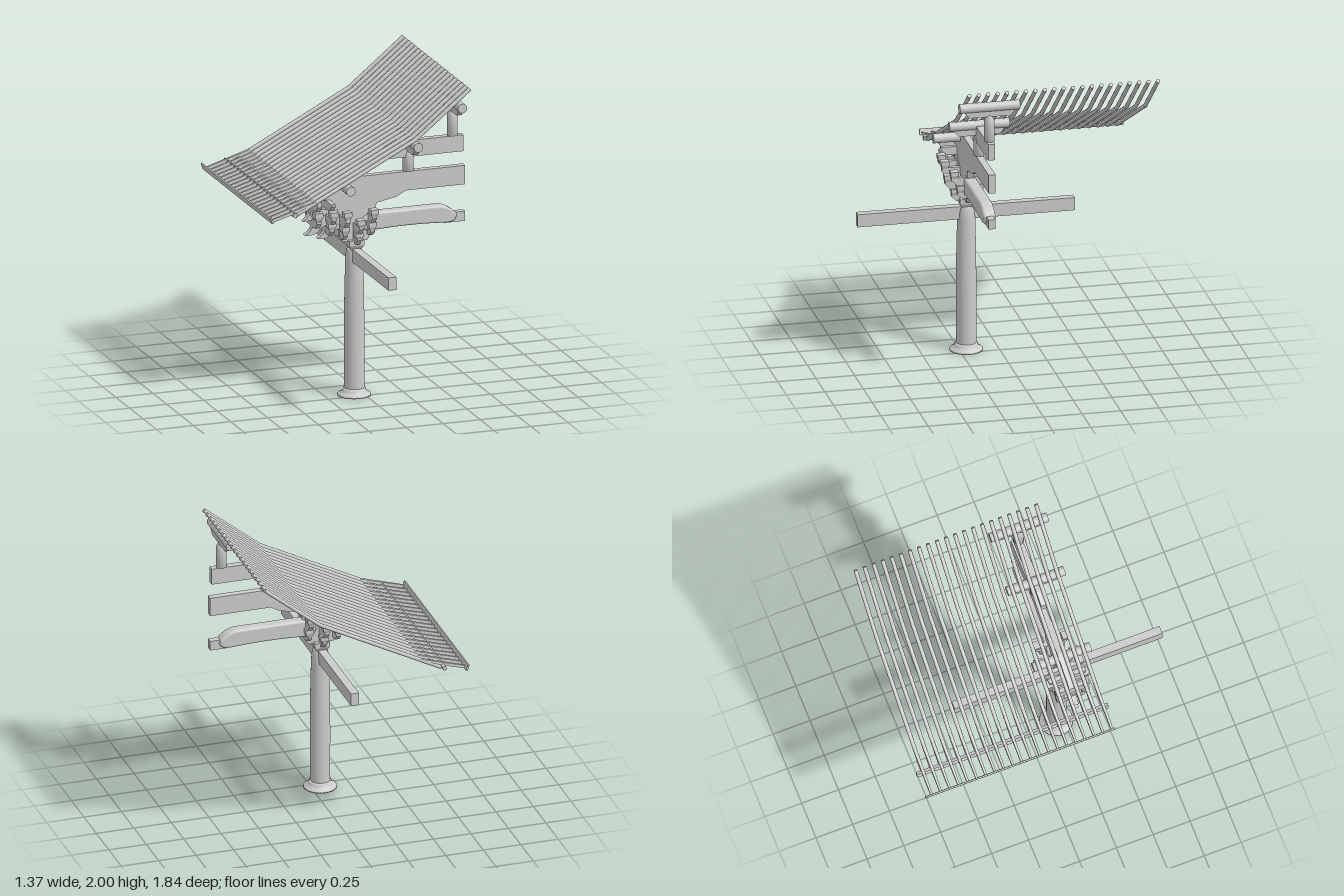
import * as THREE from 'three';

const MAT = new THREE.MeshStandardMaterial({ color: 0xcccccc, side: THREE.DoubleSide });
const FLAT = new THREE.MeshStandardMaterial({ color: 0xcccccc, flatShading: true, side: THREE.DoubleSide });
const CX = -0.06, CZ = 0.205; // column axis

export function createModel() {
  const model = new THREE.Group();
  const add = (name, geo, mat = FLAT, parent = model) => {
    const m = new THREE.Mesh(geo, mat);
    m.name = name;
    parent.add(m);
    return m;
  };
  const box = (name, x0, x1, y0, y1, z0, z1, parent) => {
    const g = new THREE.BoxGeometry(x1 - x0, y1 - y0, z1 - z0);
    g.translate((x0 + x1) / 2, (y0 + y1) / 2, (z0 + z1) / 2);
    return add(name, g, FLAT, parent);
  };
  const shape = (pts) => new THREE.Shape(pts.map((p) => new THREE.Vector2(p[0], p[1])));
  // side profile (x, y) given a thickness about z
  const plate = (name, outline, t, z = CZ, parent = model) => {
    const s = Array.isArray(outline) ? shape(outline) : outline;
    const g = new THREE.ExtrudeGeometry(s, { depth: t, bevelEnabled: false, curveSegments: 8 });
    g.translate(0, 0, z - t / 2);
    return add(name, g, FLAT, parent);
  };
  // round rod between two points
  const rod = (name, a, b, r, seg, parent) => {
    const A = new THREE.Vector3(...a), B = new THREE.Vector3(...b);
    const m = add(name, new THREE.CylinderGeometry(r, r, A.distanceTo(B), seg), MAT, parent);
    m.position.copy(A).add(B).multiplyScalar(0.5);
    m.quaternion.setFromUnitVectors(new THREE.Vector3(0, 1, 0), B.sub(A).normalize());
  };
  const lathe = (name, pts, x, y, z) => {
    const g = new THREE.LatheGeometry(pts.map((p) => new THREE.Vector2(p[0], p[1])), 32);
    add(name, g, MAT).position.set(x, y, z);
  };
  // bracket arm running along z, lower corners cut away
  const crossArm = (name, x, y0, y1, half, t, parent = model) => {
    const c = Math.min(0.04, (y1 - y0) * 0.7);
    const s = shape([[-half + c, y0], [half - c, y0], [half, y0 + c], [half, y1], [-half, y1], [-half, y0 + c]]);
    const g = new THREE.ExtrudeGeometry(s, { depth: t, bevelEnabled: false });
    g.translate(0, 0, -t / 2).rotateY(Math.PI / 2).translate(x, 0, CZ);
    add(name, g, FLAT, parent);
  };
  // bearing block: square top, tapered foot
  const block = (x, y0, y1, z, w, parent = model) => {
    const mid = y0 + (y1 - y0) * 0.45, k = Math.SQRT1_2;
    box('bearingBlock', x - w / 2, x + w / 2, mid, y1, z - w / 2, z + w / 2, parent);
    const g = new THREE.CylinderGeometry(w * k, w * k * 0.7, mid - y0, 4).rotateY(Math.PI / 4);
    add('bearingBlockFoot', g.translate(x, (y0 + mid) / 2, z), FLAT, parent);
  };

  // column with spreading stone base
  lathe('columnBase', [[0, 0], [0.108, 0], [0.106, 0.01], [0.085, 0.02], [0.073, 0.035], [0.071, 0.05], [0, 0.05]], CX, 0, CZ);
  lathe('column', [[0.064, 0.04], [0.065, 0.4], [0.063, 0.65], [0.058, 0.88], [0.055, 0.93], [0.048, 0.965], [0.042, 0.975], [0, 0.975]], CX, 0, CZ);
  box('tieBeam', -0.088, -0.035, 0.89, 0.975, -0.495, 0.915);

  // bracket set
  const brackets = new THREE.Group();
  brackets.name = 'bracketSet';
  model.add(brackets);
  block(CX, 0.97, 1.03, CZ, 0.1, brackets);
  plate('forwardArms', [[-0.14, 1.02], [0.02, 1.02], [0.05, 1.06], [0.05, 1.2], [-0.17, 1.2], [-0.17, 1.06]], 0.04, CZ, brackets);
  // per stack: x, arms [y0, y1, half length], blocks [y0, y1, offset]
  const stacks = [
    [-0.335, [[1.255, 1.33, 0.115], [1.145, 1.2, 0.11]], [[1.2, 1.255, 0.085], [1.2, 1.255, 0]]],
    [-0.245, [[1.255, 1.31, 0.125], [1.175, 1.215, 0.14], [1.09, 1.135, 0.1]], [[1.212, 1.26, 0.12], [1.132, 1.178, 0.08]]],
    [-0.152, [[1.14, 1.205, 0.14], [1.05, 1.1, 0.1]], [[1.202, 1.25, 0.12], [1.097, 1.143, 0.08], [1.097, 1.143, 0]]],
    [-0.06, [[1.09, 1.145, 0.14], [1.01, 1.06, 0.1]], [[1.142, 1.19, 0.12], [1.05, 1.095, 0.075]]],
    [0.035, [[1.15, 1.202, 0.12], [1.06, 1.1, 0.08]], [[1.2, 1.245, 0.1], [1.1, 1.15, 0.06]]],
  ];
  for (const [x, arms, blocks] of stacks) {
    for (const [y0, y1, half] of arms) crossArm('crossArm', x, y0, y1, half, 0.03, brackets);
    for (const [y0, y1, off] of blocks)
      for (const s of off ? [-1, 1] : [0]) block(x, y0, y1, CZ + s * off, 0.052, brackets);
  }
  // curved beaks pointing down and outward
  for (const [dx, dy] of [[0, 0], [0.085, -0.03]]) {
    const s = new THREE.Shape();
    s.moveTo(-0.4 + dx, 1.09 + dy);
    s.quadraticCurveTo(-0.35 + dx, 1.11 + dy, -0.335 + dx, 1.18 + dy);
    s.lineTo(-0.2 + dx, 1.25 + dy);
    s.lineTo(-0.12 + dx, 1.2 + dy);
    s.lineTo(-0.29 + dx, 1.13 + dy);
    s.quadraticCurveTo(-0.32 + dx, 1.075 + dy, -0.4 + dx, 1.09 + dy);
    plate('beak', s, 0.04, CZ, brackets);
  }
  plate('noseArm', [[-0.41, 1.18], [-0.37, 1.185], [-0.2, 1.2], [-0.2, 1.25], [-0.34, 1.25], [-0.36, 1.23]], 0.036, CZ, brackets);

  // beams running back from the brackets
  plate('mainBeam', [[0.68, 1.445], [0.68, 1.32], [0.28, 1.32], [0.215, 1.285], [0.085, 1.26], [0.06, 1.19],
    [-0.02, 1.16], [-0.15, 1.16], [-0.18, 1.24], [-0.23, 1.25], [-0.23, 1.31], [-0.35, 1.315], [-0.35, 1.335], [-0.17, 1.43], [-0.14, 1.445]], 0.045);
  plate('upperBeam', [[0.145, 1.54], [0.67, 1.54], [0.67, 1.648], [0.23, 1.648], [0.145, 1.605]], 0.045);
  const moon = new THREE.Shape();
  moon.moveTo(-0.01, 1.15);
  moon.quadraticCurveTo(0.02, 1.185, 0.07, 1.185);
  moon.lineTo(0.5, 1.185);
  moon.quadraticCurveTo(0.56, 1.18, 0.605, 1.13);
  moon.quadraticCurveTo(0.61, 1.1, 0.56, 1.095);
  moon.quadraticCurveTo(0.3, 1.115, 0.03, 1.095);
  moon.quadraticCurveTo(-0.02, 1.11, -0.01, 1.15);
  const moonGeo = new THREE.ExtrudeGeometry(moon, { depth: 0.04, bevelSize: 0.015, bevelThickness: 0.02, bevelSegments: 4, curveSegments: 8 });
  add('crescentBeam', moonGeo).position.z = CZ - 0.02;
  box('crescentBeamTail', 0.54, 0.68, 1.078, 1.142, CZ - 0.022, CZ + 0.022);

  // posts, saddles and purlins
  for (const [x, y0, y1] of [[0.303, 1.445, 1.645], [0.6, 1.648, 1.877]]) {
    const h = y1 - y0 - 0.05;
    lathe('post', [[0, 0], [0.034, 0], [0.034, h * 0.65], [0.03, h * 0.82], [0.02, h * 0.92], [0.018, h], [0, h]], x, y0, CZ);
    crossArm('purlinSaddle', x, y1 - 0.062, y1 - 0.02, 0.16, 0.036);
  }
  for (const [x, y] of [[-0.152, 1.405], [0.303, 1.648], [0.6, 1.877]])
    rod('purlin', [x, y, 0.01], [x, y, 0.4], 0.031, 24);

  // bent rafters with tapering flying rafters at the eave
  const roof = new THREE.Group();
  roof.name = 'roof';
  model.add(roof);
  for (let i = 0; i < 21; i++) {
    const z = -0.876 + i * 0.06125;
    rod('lowerRafter', [-0.51, 1.268, z], [0.305, 1.69, z], 0.013, 12, roof);
    rod('upperRafter', [0.298, 1.686, z], [0.668, 1.987, z], 0.013, 12, roof);
    const f = plate('flyingRafter', [[-0.36, 1.352], [-0.67, 1.258], [-0.67, 1.238], [-0.52, 1.283], [-0.36, 1.345]], 0.022, 0, roof);
    const p = f.geometry.attributes.position;
    for (let j = 0; j < p.count; j++) if (p.getX(j) < -0.6) p.setZ(j, p.getZ(j) * 0.65);
    f.position.z = z;
  }
  // eave boards
  plate('outerEaveBoard', [[-0.685, 1.275], [-0.672, 1.235], [-0.66, 1.24], [-0.675, 1.278]], 1.29, -0.275, roof);
  plate('innerEaveBoard', [[-0.535, 1.27], [-0.515, 1.258], [-0.503, 1.288], [-0.525, 1.295]], 1.3, -0.27, roof);
  return model;
}
